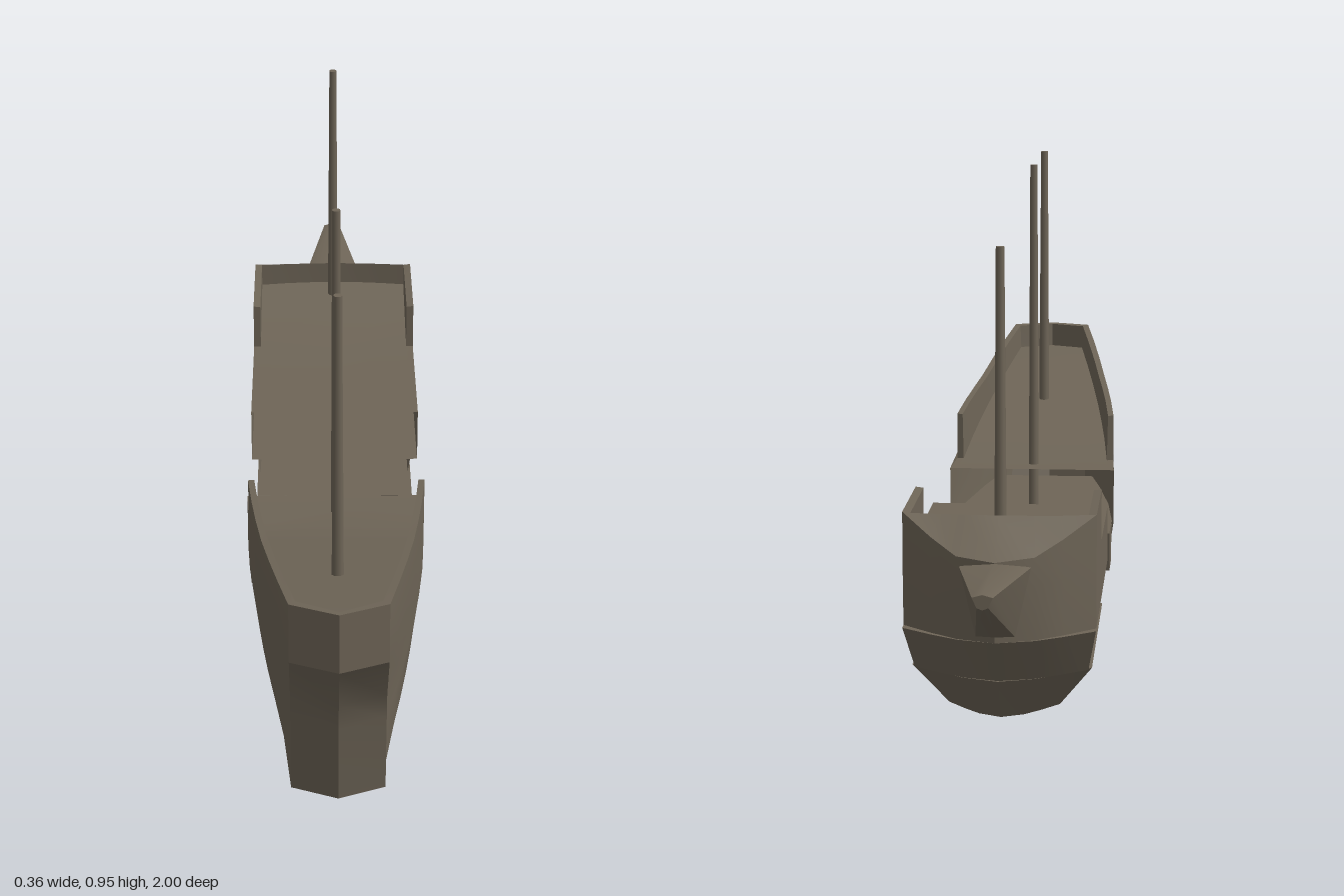
import * as THREE from 'three';
import { toCreasedNormals } from 'three/addons/utils/BufferGeometryUtils.js';

const lerp = THREE.MathUtils.lerp;

// Skin a list of half sections (centre bottom -> side -> centre top), mirrored in x, z increasing
function loft(halves) {
  const rings = halves.map(h => [...h, ...h.slice(1, -1).reverse().map(([x, y, z]) => [-x, y, z])]);
  const n = rings[0].length, pos = [];
  const tri = (a, b, c) => {
    const [A, B, C] = [a, b, c].map(p => new THREE.Vector3(...p));
    if (B.clone().sub(A).cross(C.clone().sub(A)).length() > 1e-7) pos.push(...a, ...b, ...c);
  };
  for (let i = 0; i < rings.length - 1; i++) {
    for (let j = 0; j < n; j++) {
      const k = (j + 1) % n, a = rings[i], b = rings[i + 1];
      tri(a[j], a[k], b[k]);
      tri(a[j], b[k], b[j]);
    }
  }
  const g = new THREE.BufferGeometry();
  g.setAttribute('position', new THREE.Float32BufferAttribute(pos, 3));
  return toCreasedNormals(g, 0.6);
}

// Piecewise linear curve through [input, output] pairs
function curve(pts, v) {
  for (let i = 1; i < pts.length; i++) {
    const [a, p] = pts[i - 1], [b, q] = pts[i];
    if (v <= b) return lerp(p, q, (v - a) / (b - a || 1));
  }
  return pts[pts.length - 1][1];
}

// ---- Stern half ----
const SZ = 0.24, CORNER = 0.035;
const sternRail = z => curve([[0.35, 0.395], [0.62, 0.43], [0.95, 0.503], [1, 0.51]], z);
const sternDeck = z => 0.295 + Math.max(0, z - 0.35) * 0.26;

function sternSection(t, raised, tip) {
  const e = Math.pow(t, 1.5);
  const at = (x, yFn, end) => {
    const z = lerp(SZ, end - CORNER, t);
    return [tip ? 0 : lerp(x, 0.088, e), yFn(z), tip ? end : z];
  };
  const rail = z => (raised ? sternRail(z) : 0.295);
  const inset = (p, d) => [Math.max(0, p[0] - d), p[1], p[2]];
  const deck = inset(at(0.178, sternDeck, 0.985), 0.014);
  return [
    [0, 0, lerp(SZ, 0.845, t)],
    at(0.105, () => 0, 0.845),
    at(0.165, () => 0.09, 0.86),
    at(0.178, () => 0.18, 0.877),
    at(0.178, () => 0.24, 0.89),
    at(0.178, () => lerp(0.295, 0.385, t), 1),
    at(0.178, rail, 1),
    inset(at(0.178, rail, 0.987), 0.012),
    deck,
    [0, deck[1], deck[2]],
  ];
}

function sternHull() {
  const step = 0.11 / (1 - CORNER - SZ);
  const s = [sternSection(0, false), sternSection(step, false)];
  for (const t of [step, 0.3, 0.42, 0.55, 0.7, 0.85, 1]) s.push(sternSection(t, true));
  s.push(sternSection(1, true, true));
  return loft(s);
}

// Thin floor inside the stern, narrowing with the hull
function sternFloor(y, w) {
  return loft([0, 0.3, 0.6, 0.8].map(t => {
    const z = lerp(SZ, 0.84, t), x = lerp(w, 0.088, Math.pow(t, 1.5)) - 0.003;
    return [[0, y - 0.008, z], [x, y - 0.008, z], [x, y, z], [0, y, z]];
  }));
}

// ---- Bow half ----
const BOW_T = [0, 0.25, 0.48, 0.48, 0.7, 0.82, 0.9, 0.96, 1];
const BOW_W = [1, 1, 1, 1, 1, 1, 0.68, 0.4, 0];
const bowPoint = (i, x, y, start, end) => [x * BOW_W[i], y, lerp(start, end, BOW_T[i])];
const bowLoft = section => loft(BOW_T.map((_, i) => section(i)).reverse());
const onCentre = p => [0, p[1], p[2]];

// Bottom slab
function bowBottom() {
  return bowLoft(i => {
    const a = bowPoint(i, 0.105, 0, -0.11, -0.61), b = bowPoint(i, 0.168, 0.09, -0.11, -0.685);
    return [onCentre(a), a, b, onCentre(b)];
  });
}

// Band set back behind the break
function bowBand() {
  return bowLoft(i => {
    const a = bowPoint(i, 0.162, 0.09, -0.21, -0.68), b = bowPoint(i, 0.178, 0.18, -0.225, -0.748);
    return [onCentre(a), a, b, onCentre(b)];
  });
}

// Upper hull with rail and foredeck
function bowUpper() {
  return bowLoft(i => {
    const t = BOW_T[i];
    const low = bowPoint(i, 0.178, 0.18, -0.11, -0.748);
    const mid = bowPoint(i, 0.178, 0.285, -0.11, -0.755);
    const top = i < 3 ? 0.295 : curve([[0.82, 0.395], [0.96, 0.335], [1, 0.33]], Math.max(t, 0.82));
    const rail = bowPoint(i, 0.178, top, -0.11, -0.755);
    const zIn = Math.max(rail[2], -0.64 - Math.max(0, t - 0.82) * 0.05);
    const xIn = 0.163 * BOW_W[i];
    const deckY = 0.295 + Math.max(0, -0.42 - zIn) * 0.22;
    return [onCentre(low), low, mid, rail,
      [xIn, i < 3 ? 0.295 : 0.393, zIn], [xIn, deckY, zIn], [0, deckY, zIn]];
  });
}

// Tapering beak
function beak() {
  const ring = (w, bottom, side, top, z) =>
    [[0, bottom, z], [w * 0.55, bottom + 0.004, z], [w, side, z], [0, top, z]];
  const end = ring(0.018, 0.308, 0.33, 0.335, -1);
  return loft([end.map(() => [0, 0.322, -1]), end, ring(0.065, 0.185, 0.318, 0.328, -0.735)]);
}

// Torn side plank beyond the stern break
function plank() {
  const s = new THREE.Shape([[0.25, 0.095], [0.145, 0.095], [0.13, 0.18], [0.25, 0.18]]
    .map(p => new THREE.Vector2(...p)));
  const g = new THREE.ExtrudeGeometry(s, { depth: 0.012, bevelEnabled: false });
  return g.translate(0, 0, -0.006).rotateY(-Math.PI / 2);
}

export function createModel() {
  const wood = new THREE.MeshStandardMaterial({ color: 0x6e6557, side: THREE.DoubleSide });
  wood.name = 'weathered wood';
  const model = new THREE.Group();
  model.name = 'brokenShip';
  const add = (name, geometry, parent) => {
    const m = new THREE.Mesh(geometry, wood);
    m.name = name;
    parent.add(m);
    return m;
  };
  const stern = new THREE.Group(), bow = new THREE.Group();
  stern.name = 'sternHalf';
  bow.name = 'bowHalf';
  model.add(stern, bow);

  add('sternHull', sternHull(), stern);
  add('middleFloor', sternFloor(0.18, 0.178), stern);
  add('lowerFloor', sternFloor(0.095, 0.165), stern);
  for (const side of [-1, 1]) {
    const p = add(side > 0 ? 'leftPlank' : 'rightPlank', plank(), stern);
    p.position.x = side * 0.167;
  }

  add('bowBottom', bowBottom(), bow);
  add('bowBand', bowBand(), bow);
  add('bowUpperHull', bowUpper(), bow);
  add('beak', beak(), bow);

  // Masts: base height, top height, z
  for (const [name, y0, y1, z, parent] of [
    ['aftMast', 0.35, 0.95, 0.665, stern],
    ['mainMast', 0.01, 0.95, 0.3, stern],
    ['foreMast', 0.31, 0.88, -0.61, bow],
  ]) {
    const m = add(name, new THREE.CylinderGeometry(0.008, 0.012, y1 - y0, 10), parent);
    m.position.set(0, (y0 + y1) / 2, z);
  }
  return model;
}
